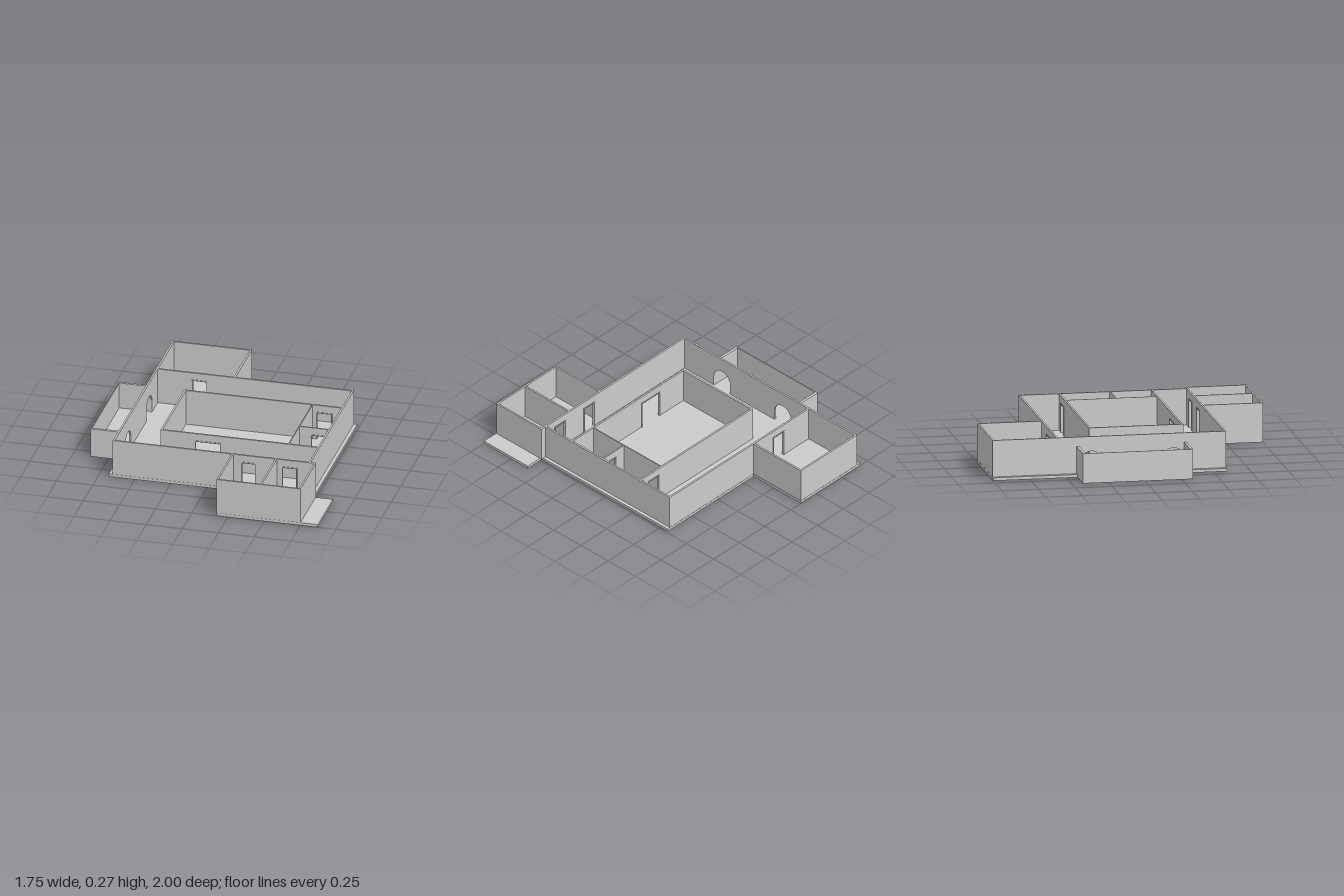
import * as THREE from 'three';

const FLOOR = 0.02, TOP = 0.27, DOOR = 0.2, T = 0.013;

export function createModel() {
  const model = new THREE.Group();
  model.name = 'floorPlanHouse';
  const material = new THREE.MeshStandardMaterial({ color: 0xcccccc, flatShading: true });

  function add(parent, name, geometry) {
    const mesh = new THREE.Mesh(geometry, material);
    mesh.name = name;
    parent.add(mesh);
    return mesh;
  }

  // Floor slab, one outline in plan (x, z)
  const outline = [
    [-0.68, -1], [-0.1, -1], [-0.1, -0.565], [0.738, -0.565], [0.738, 0.595],
    [0.872, 0.595], [0.872, 1], [0.17, 1], [0.17, 0.595], [-0.68, 0.595],
    [-0.68, 0.325], [-0.875, 0.325], [-0.875, -0.425], [-0.68, -0.425],
  ].map(([x, z]) => new THREE.Vector2(x, z));
  const slab = new THREE.ExtrudeGeometry(new THREE.Shape(outline), { depth: FLOOR, bevelEnabled: false });
  slab.rotateX(Math.PI / 2).translate(0, FLOOR, 0);
  add(model, 'floorSlab', slab);

  // Wall along x or z from a to b, centred on line c; openings reach the floor
  function wall(name, axis, a, b, c, { t = T, top = TOP, doors = [], arches = [] } = {}) {
    const group = new THREE.Group();
    group.name = name;
    const shape = new THREE.Shape();
    shape.moveTo(a, 0);
    const openings = [
      ...doors.map(([u0, u1]) => ({ u0, u1 })),
      ...arches.map(([u0, u1]) => ({ u0, u1, arch: true })),
    ].sort((p, q) => p.u0 - q.u0);
    for (const { u0, u1, arch } of openings) {
      shape.lineTo(u0, 0);
      if (arch) {
        const r = (u1 - u0) / 2;
        shape.lineTo(u0, 0.075);
        shape.absarc(u0 + r, 0.075, r, Math.PI, 0, true);
      } else {
        shape.lineTo(u0, DOOR);
        shape.lineTo(u1, DOOR);
      }
      shape.lineTo(u1, 0);
    }
    shape.lineTo(b, 0);
    shape.lineTo(b, top - FLOOR);
    shape.lineTo(a, top - FLOOR);
    const body = new THREE.ExtrudeGeometry(shape, { depth: t, bevelEnabled: false, curveSegments: 16 });
    add(group, 'wallPanel', body.translate(0, 0, -t / 2));

    // Slim frames standing slightly proud of the wall
    for (const [u0, u1] of doors) {
      const f = 0.008, frame = new THREE.Shape();
      [[u0, 0], [u0 + f, 0], [u0 + f, DOOR - f], [u1 - f, DOOR - f], [u1 - f, 0], [u1, 0], [u1, DOOR], [u0, DOOR]]
        .forEach(([u, v], i) => (i ? frame.lineTo(u, v) : frame.moveTo(u, v)));
      const depth = t + 0.006;
      const geometry = new THREE.ExtrudeGeometry(frame, { depth, bevelEnabled: false });
      add(group, 'doorFrame', geometry.translate(0, 0, -depth / 2));
    }
    if (axis === 'x') {
      group.position.set(0, FLOOR, c);
    } else {
      group.rotation.y = -Math.PI / 2;
      group.position.set(c, FLOOR, 0);
    }
    model.add(group);
  }

  // Main outer walls
  wall('mainBackWall', 'x', -0.652, 0.714, -0.557, { doors: [[-0.405, -0.292]] });
  wall('mainFrontWall', 'x', -0.652, 0.752, 0.587, { doors: [[0.232, 0.342], [0.515, 0.625]] });
  wall('mainLeftWall', 'z', -0.563, 0.593, -0.646, { arches: [[-0.4, -0.25], [0.16, 0.31]] });
  wall('mainRightWall', 'z', -0.563, 0.593, 0.708);

  // Inner hall and its two side rooms
  wall('hallBackWall', 'x', -0.386, 0.71, -0.284, { doors: [[0.525, 0.64]] });
  wall('hallFrontWall', 'x', -0.386, 0.71, 0.345, { doors: [[-0.15, 0.035]] });
  wall('hallLeftWall', 'z', -0.29, 0.351, -0.379);
  wall('hallRightWall', 'z', -0.284, 0.345, 0.5, { t: 0.006 });
  wall('sideRoomDivider', 'x', 0.5, 0.71, 0.061, { t: 0.01, doors: [[0.578, 0.696]] });

  // Back room
  wall('backRoomBackWall', 'x', -0.652, -0.104, -0.992);
  wall('backRoomLeftWall', 'z', -0.998, -0.56, -0.646);
  wall('backRoomRightWall', 'z', -0.998, -0.56, -0.11);

  // Front rooms
  wall('frontRoomsFrontWall', 'x', 0.17, 0.752, 0.993, { t: 0.012 });
  [['frontRoomsLeftWall', 0.176], ['frontRoomsDivider', 0.477], ['frontRoomsRightWall', 0.746]]
    .forEach(([name, x]) => wall(name, 'z', 0.59, 0.999, x, { t: 0.012 }));

  // Lower left porch
  const low = { top: 0.205, t: 0.018 };
  wall('porchBackWall', 'x', -0.875, -0.65, -0.416, low);
  wall('porchFrontWall', 'x', -0.875, -0.65, 0.316, low);
  wall('porchLeftWall', 'z', -0.425, 0.325, -0.872, { top: 0.205, t: 0.006 });

  return model;
}
